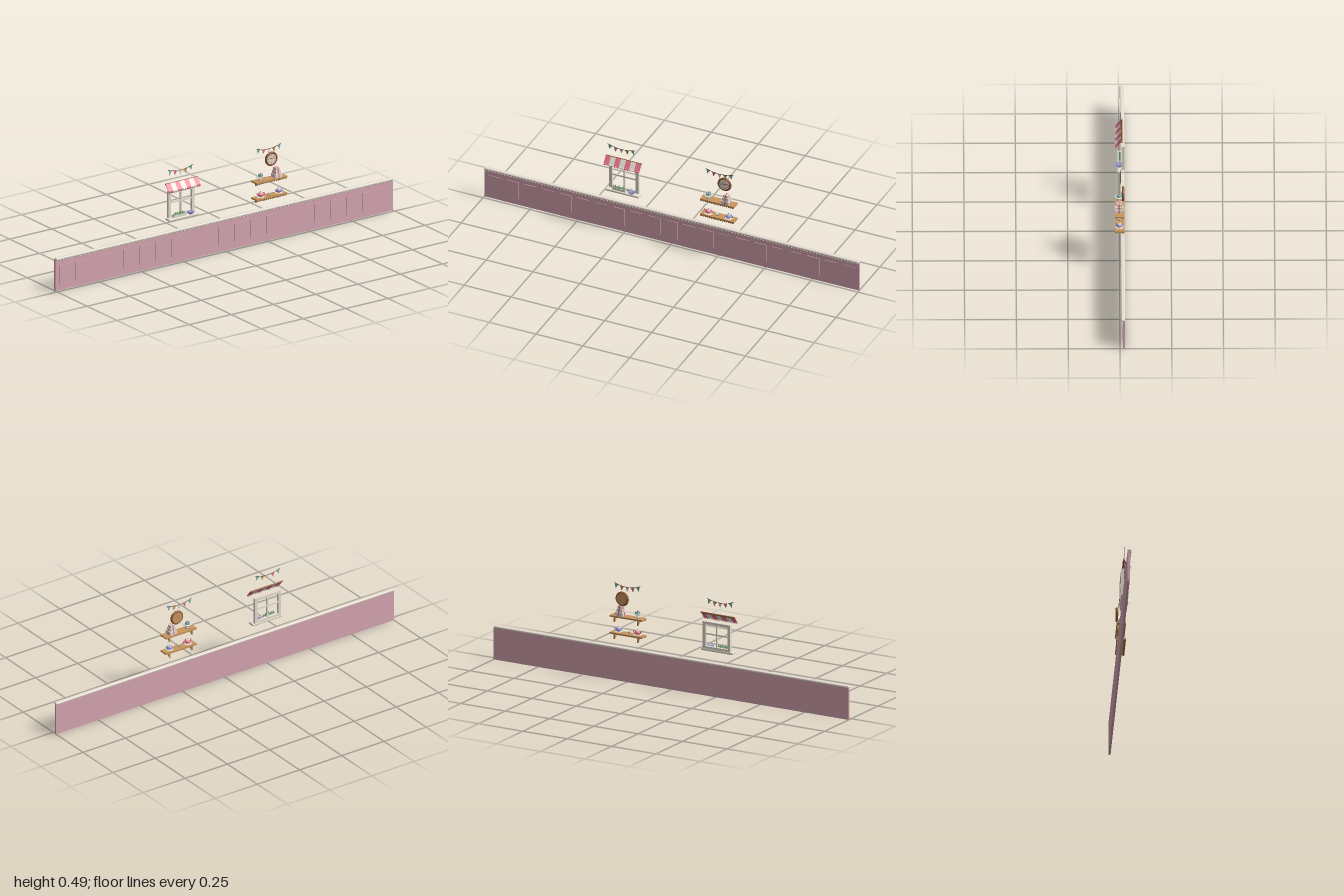
import * as THREE from 'three';
import { mergeGeometries } from 'three/addons/utils/BufferGeometryUtils.js';
import { RoundedBoxGeometry } from 'three/addons/geometries/RoundedBoxGeometry.js';

const paint = (name, color) => {
  const m = new THREE.MeshStandardMaterial({ color, side: THREE.DoubleSide });
  m.name = name;
  return m;
};

export function createModel() {
  const wallPink = paint('wall pink', 0xd6a6b2);
  const cream = paint('cream', 0xe8dfd2);
  const rose = paint('rose', 0xe5748a);
  const wood = paint('wood', 0xc9965c);
  const darkWood = paint('dark wood', 0x8f5a34);
  const dark = paint('dark brown', 0x4a322c);
  const teal = paint('teal', 0x7fb8b2);
  const lavender = paint('lavender', 0x8e8fd0);
  const green = paint('leaf green', 0x6f9f6c);

  const root = new THREE.Group();
  root.name = 'shopWall';
  const group = (name, x = 0, y = 0, z = 0, parent = root) => {
    const g = new THREE.Group();
    g.name = name;
    g.position.set(x, y, z);
    parent.add(g);
    return g;
  };
  const add = (parent, name, geo, mat, x = 0, y = 0, z = 0) => {
    const m = new THREE.Mesh(geo, mat);
    m.name = name;
    m.position.set(x, y, z);
    parent.add(m);
    return m;
  };
  const box = (parent, name, mat, w, h, d, x, y, z) =>
    add(parent, name, new THREE.BoxGeometry(w, h, d), mat, x, y, z);
  const ball = (r) => new THREE.SphereGeometry(r, 10, 8);
  const lathe = (pts) => new THREE.LatheGeometry(pts.map(([r, y]) => new THREE.Vector2(r, y)), 20);
  // Row of round beads along x, merged into one mesh
  const beads = (parent, mat, n, width, r, x, y, z) => {
    const geos = Array.from({ length: n }, (_, i) =>
      ball(r).translate(-width / 2 + r + (i * (width - 2 * r)) / (n - 1), 0, 0));
    return add(parent, 'beadTrim', mergeGeometries(geos), mat, x, y, z);
  };

  // Wainscot wall with raised panels and a rounded cap rail
  const wall = group('wainscot');
  box(wall, 'wallBoard', wallPink, 2, 0.16, 0.0105, 0, 0.08, -0.0195);
  for (let i = -10; i <= 10; i++)
    box(wall, 'raisedPanel', wallPink, 0.066, 0.094, 0.004, i * 0.0943, 0.081, -0.0135);
  add(wall, 'capRail', new RoundedBoxGeometry(2, 0.012, 0.02, 3, 0.005), cream, 0, 0.163, -0.015);
  beads(wall, cream, 120, 1.99, 0.004, 0, 0.155, -0.0095);

  // Open window frame with crossbars and sill
  const win = group('window', -0.255, 0, 0);
  for (const s of [-1, 1]) box(win, 'frameSide', cream, 0.015, 0.135, 0.013, s * 0.07, 0.304, -0.0185);
  box(win, 'frameTop', cream, 0.155, 0.014, 0.013, 0, 0.366, -0.0185);
  box(win, 'frameBottom', cream, 0.155, 0.012, 0.013, 0, 0.243, -0.0185);
  box(win, 'uprightBar', cream, 0.007, 0.125, 0.008, 0, 0.304, -0.0185);
  box(win, 'crossBar', cream, 0.13, 0.007, 0.008, 0, 0.312, -0.0185);
  add(win, 'sill', new RoundedBoxGeometry(0.178, 0.012, 0.035, 2, 0.004), cream, 0, 0.231, -0.007);

  // Herb trough and bowl on the sill
  box(win, 'herbTrough', cream, 0.07, 0.012, 0.014, -0.02, 0.243, -0.003);
  for (let i = 0; i < 7; i++) {
    const h = 0.014 + 0.005 * (i % 2);
    add(win, 'herb', new THREE.ConeGeometry(0.006, h, 7), green, -0.049 + i * 0.0097, 0.248 + h / 2, -0.003);
  }
  add(win, 'sillBowl', lathe([[0, 0], [0.009, 0], [0.017, 0.008], [0.018, 0.012], [0.015, 0.012], [0, 0.006]]),
    lavender, 0.047, 0.237, -0.002);

  // Sloping striped awning with a scalloped hem
  const awning = group('awning', -0.255, 0, 0);
  const stripes = 7, sw = 0.19 / stripes;
  for (let i = 0; i < stripes; i++) {
    const x = (i - (stripes - 1) / 2) * sw, mat = i % 2 ? cream : rose;
    const slope = box(awning, 'awningStripe', mat, sw, 0.003, 0.042, x, 0.397, 0.002);
    slope.rotation.x = Math.atan2(0.034, 0.026);
    for (const s of [-1, 1])
      add(awning, 'scallop', ball(0.0055), mat, x + s * sw / 4, 0.38, 0.0155).scale.x = 1.2;
  }
  const rail = add(awning, 'awningRail', new THREE.CylinderGeometry(0.004, 0.004, 0.19, 10), darkWood, 0, 0.412, -0.013);
  rail.rotation.z = Math.PI / 2;

  // Bunting: sagging cord with five triangular flags
  const bunting = (x) => {
    const g = group('bunting', x, 0, -0.007);
    const sag = (t) => 0.472 + 0.014 * t * t;
    const pts = [-1, -0.6, -0.2, 0.2, 0.6, 1].map((t) => new THREE.Vector3(t * 0.074, sag(t), 0));
    add(g, 'cord', new THREE.TubeGeometry(new THREE.CatmullRomCurve3(pts), 24, 0.0011, 5), dark);
    const flag = new THREE.Shape([[-0.0105, 0], [0, -0.024], [0.0105, 0]].map((p) => new THREE.Vector2(...p)));
    [teal, rose, cream, wood, teal].forEach((mat, i) => {
      const t = (i - 2) * 0.4;
      const f = add(g, 'flag', new THREE.ExtrudeGeometry(flag, { depth: 0.001, bevelEnabled: false }),
        mat, t * 0.074, sag(t), -0.0005);
      f.rotation.z = t * 0.35;
    });
  };
  bunting(-0.265);
  bunting(0.258);

  // Two shelves on triangular brackets
  const bracket = new THREE.Shape([[0.02, 0], [-0.005, 0], [0.02, -0.024]].map((p) => new THREE.Vector2(...p)));
  const bracketGeo = new THREE.ExtrudeGeometry(bracket, { depth: 0.008, bevelEnabled: false })
    .translate(0, 0, -0.004).rotateY(Math.PI / 2);
  const shelf = (top) => {
    const g = group('shelf', 0.257, top, 0);
    box(g, 'shelfBoard', wood, 0.182, 0.008, 0.045, 0, -0.004, -0.001);
    beads(g, darkWood, 16, 0.176, 0.004, 0, -0.01, 0.018);
    for (const s of [-1, 1]) add(g, 'bracket', bracketGeo, wood, s * 0.066, -0.008, 0);
    return g;
  };
  const upper = shelf(0.323);
  const lower = shelf(0.237);

  // Stack of ribboned gift boxes
  let y = 0;
  for (const [w, h] of [[0.04, 0.018], [0.031, 0.016], [0.025, 0.015]]) {
    box(upper, 'giftBox', cream, w, h, w, 0.042, y + h / 2, 0.001);
    box(upper, 'ribbonAcross', rose, w + 0.001, h, 0.006, 0.042, y + h / 2, 0.001);
    box(upper, 'ribbonAlong', rose, 0.006, h + 0.0005, w + 0.001, 0.042, y + h / 2, 0.001);
    y += h;
  }

  // Cake stand with a frosted cake, and a small cup beside it
  const stand = group('cakeStand', -0.053, 0, 0.001, upper);
  add(stand, 'standPlate', lathe([[0, 0], [0.012, 0], [0.004, 0.004], [0.003, 0.017], [0.021, 0.019], [0.021, 0.022], [0, 0.022]]), cream);
  add(stand, 'cake', new THREE.CylinderGeometry(0.012, 0.013, 0.01, 18), teal, 0, 0.027, 0);
  add(stand, 'cherry', ball(0.004), rose, 0, 0.035, 0);

  // Round pots and cups for the lower shelf
  const pot = (name, mat, x, r, spout) => {
    const g = group(name, x, 0, 0.001, lower);
    add(g, 'saucer', lathe([[0, 0], [r * 0.7, 0], [r * 1.2, 0.003], [0, 0.003]]), cream);
    add(g, 'body', ball(r), mat, 0, 0.003 + r * 0.62, 0).scale.y = 0.62;
    add(g, 'lid', new THREE.CylinderGeometry(r * 0.45, r * 0.55, 0.003, 14), cream, 0, 0.003 + r * 1.22, 0);
    add(g, 'knob', ball(r * 0.17), mat, 0, 0.006 + r * 1.28, 0);
    add(g, 'handle', new THREE.TorusGeometry(r * 0.4, r * 0.1, 6, 14), mat, r, 0.003 + r * 0.65, 0);
    if (spout) {
      const s = add(g, 'spout', new THREE.CylinderGeometry(r * 0.12, r * 0.24, r * 0.9, 8), mat, -r * 1.05, 0.003 + r * 0.8, 0);
      s.rotation.z = 0.7;
    }
  };
  pot('teapot', rose, -0.053, 0.017, true);
  pot('lavenderPot', lavender, 0.054, 0.016, false);
  add(lower, 'smallCup', lathe([[0, 0], [0.005, 0], [0.009, 0.012], [0.007, 0.012], [0, 0.004]]), cream, -0.005, 0, 0.001);

  // Round wall clock
  const clock = group('clock', 0.28, 0.413, -0.0175);
  add(clock, 'clockBack', new THREE.CylinderGeometry(0.033, 0.033, 0.009, 32), wood, 0, 0, -0.001).rotation.x = Math.PI / 2;
  add(clock, 'clockRim', new THREE.TorusGeometry(0.0305, 0.006, 10, 36), darkWood);
  add(clock, 'clockFace', new THREE.CylinderGeometry(0.026, 0.026, 0.002, 32), cream, 0, 0, 0.0042).rotation.x = Math.PI / 2;
  for (let i = 0; i < 12; i++) {
    const a = (i * Math.PI) / 6;
    const m = box(clock, 'hourMark', i % 3 ? rose : dark, 0.0025, 0.006, 0.001, Math.sin(a) * 0.0205, Math.cos(a) * 0.0205, 0.0056);
    m.rotation.z = -a;
  }
  for (const [len, a] of [[0.012, -1.0], [0.017, 1.0]]) {
    const h = box(clock, 'clockHand', dark, 0.0025, len, 0.001, Math.sin(a) * len / 2, Math.cos(a) * len / 2, 0.0066);
    h.rotation.z = -a;
  }
  add(clock, 'clockHub', ball(0.003), rose, 0, 0, 0.0066);

  return root;
}
